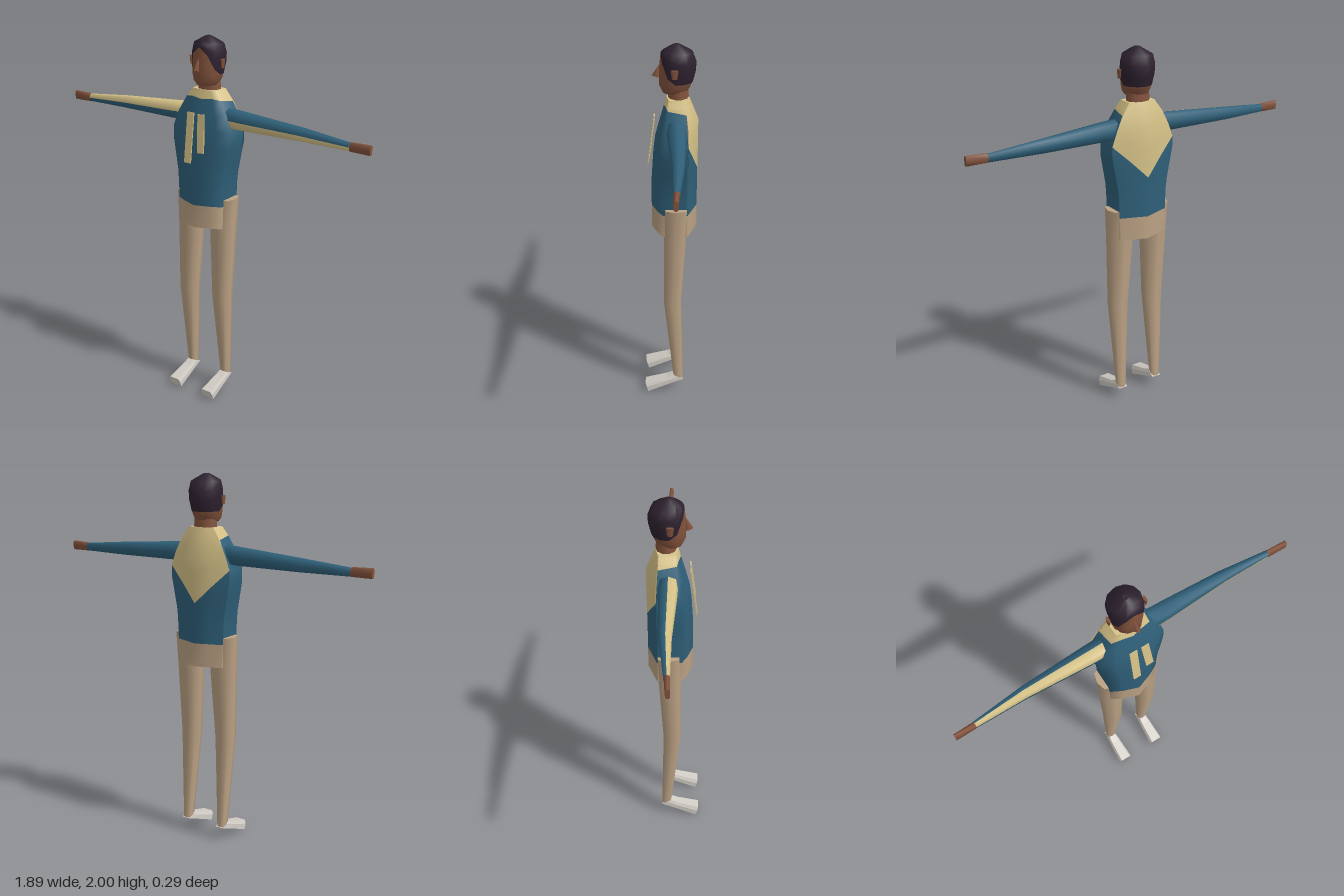
import * as THREE from 'three';

const mat = (name, color) => {
  const m = new THREE.MeshStandardMaterial({ color });
  m.name = name;
  return m;
};

// Straight-line interpolation in a table of rows [key, ...values]
function sample(table, k) {
  let i = 0;
  while (i < table.length - 2 && k > table[i + 1][0]) i++;
  const a = table[i], b = table[i + 1];
  const t = THREE.MathUtils.clamp((k - a[0]) / (b[0] - a[0]), 0, 1);
  return a.slice(1).map((v, n) => THREE.MathUtils.lerp(v, b[n + 1], t));
}

// Skins closed rings of [x, y, z]; pick(row, column) chooses the material index
function loft(name, rings, materials, pick = () => 0, flat = false) {
  const n = rings[0].length, last = rings.length - 1;
  const pos = rings.flat(2), faces = materials.map(() => []);
  for (let r = 0; r < last; r++) for (let c = 0; c < n; c++) {
    const d = (c + 1) % n, a = r * n + c, b = r * n + d, e = a + n, f = b + n;
    faces[pick(r, c)].push(a, b, f, a, f, e);
  }
  // End caps with their own vertices
  for (const [ring, row, up] of [[rings[0], 0, false], [rings[last], last - 1, true]]) {
    const base = pos.length / 3;
    pos.push(...ring.flat());
    pos.push(...[0, 1, 2].map(k => ring.reduce((s, p) => s + p[k], 0) / n));
    for (let c = 0; c < n; c++) {
      const d = base + (c + 1) % n;
      faces[pick(row, c)].push(base + n, ...(up ? [base + c, d] : [d, base + c]));
    }
  }
  let geo = new THREE.BufferGeometry();
  geo.setAttribute('position', new THREE.Float32BufferAttribute(pos, 3));
  geo.setIndex(faces.flat());
  let start = 0;
  faces.forEach((f, i) => { geo.addGroup(start, f.length, i); start += f.length; });
  if (flat) geo = geo.toNonIndexed();
  geo.computeVertexNormals();
  const mesh = new THREE.Mesh(geo, materials);
  mesh.name = name;
  return mesh;
}

// Eight-sided, slightly squared loop as pairs [u, v]
const loop8 = Array.from({ length: 8 }, (_, i) => {
  const a = i * Math.PI / 4, k = i % 2 ? 1.13 : 1;
  return [Math.sin(a) * k, Math.cos(a) * k];
});

export function createModel() {
  const group = new THREE.Group();
  const blue = mat('jacketBlue', 0x2f6079);
  const cream = mat('cream', 0xd6c288);
  const khaki = mat('khaki', 0xbba184);
  const skin = mat('skin', 0x82523c);
  const hair = mat('hair', 0x2d212f);
  const white = mat('shoeWhite', 0xd0ccc4);
  const lerp = THREE.MathUtils.lerp;
  const add = (name, geo, m, x, y, z) => {
    const mesh = new THREE.Mesh(geo, m);
    mesh.name = name;
    mesh.position.set(x, y, z);
    group.add(mesh);
    return mesh;
  };

  // Torso: y, half width, z of front ridge, side front, side back, back ridge
  const torso = [
    [1.0, 0.138, 0.1, 0.04, -0.09, -0.14],
    [1.27, 0.147, 0.1, 0.04, -0.09, -0.14],
    [1.5, 0.192, 0.085, 0.03, -0.09, -0.143],
    [1.64, 0.14, 0.047, 0.02, -0.09, -0.143],
    [1.73, 0.075, 0.02, 0.005, -0.08, -0.095],
  ];
  // Columns: side (-1..1), position along front-to-back, lower edge of the cream panel
  const half = [[0.6, 'f', 1.69], [1, 'sf', 1.685], [1, 'sm', 1.67], [1, 'sb', 1.52], [0.5, 'b', 1.43]];
  const columns = [[0, 'f0', 1.685], ...half, [0, 'b0', 1.34],
    ...half.slice().reverse().map(([s, k, e]) => [-s, k, e])];
  const torsoPoint = (s, key, y) => {
    const [w, f, sf, sb, b] = sample(torso, y);
    const z = { f0: f, f: lerp(f, sf, 0.5), sf, sm: lerp(sb, sf, 0.06), sb, b: lerp(sb, b, 0.5), b0: b }[key];
    return [s * w, y, z];
  };
  const torsoRing = h => columns.map(([s, k, e]) => torsoPoint(s, k, h(e)));
  const blueRows = 7, torsoRings = [torsoRing(() => 1.0)];
  for (let i = 0; i <= blueRows; i++) torsoRings.push(torsoRing(e => lerp(1.125, e, i / blueRows)));
  for (const t of [0.35, 0.7, 1]) torsoRings.push(torsoRing(e => lerp(e, 1.73, t)));
  group.add(loft('jacket', torsoRings, [khaki, blue, cream],
    r => (r === 0 ? 0 : r <= blueRows ? 1 : 2)));

  // Chest stripes
  const stripe = (h, x, y, z, tilt) => {
    const m = add('chestStripe', new THREE.BoxGeometry(0.042, h, 0.006), cream, x, y, z);
    m.rotation.set(-0.13, 0, tilt);
  };
  stripe(0.265, -0.027, 1.49, 0.1, 0.01);
  stripe(0.2, 0.045, 1.52, 0.096, 0.08);

  // Neck
  const neck = add('neck', new THREE.CylinderGeometry(0.06, 0.068, 0.09, 10), skin, 0, 1.738, -0.04);
  neck.scale.z = 0.82;

  // Head: y, half width, front z, back z; the hairline varies around the head
  const head = [
    [1.755, 0.055, 0.04, -0.085],
    [1.775, 0.07, 0.057, -0.095],
    [1.82, 0.08, 0.06, -0.118],
    [1.9, 0.09, 0.057, -0.135],
    [1.965, 0.08, 0.047, -0.11],
    [2.0, 0.015, -0.015, -0.045],
  ];
  const hairline = [1.95, 1.915, 1.84, 1.81, 1.81, 1.81, 1.81];
  const headRing = h => Array.from({ length: 12 }, (_, c) => {
    const a = c * Math.PI / 6, y = h(hairline[Math.min(c, 12 - c)]);
    const [w, f, b] = sample(head, y);
    return [Math.sin(a) * w, y, (f + b) / 2 + Math.cos(a) * (f - b) / 2];
  });
  const headRings = [];
  for (const t of [0, 0.2, 0.6, 1]) headRings.push(headRing(e => lerp(1.755, e, t)));
  for (const t of [0.3, 0.55, 0.8, 1]) headRings.push(headRing(e => lerp(e, 2.0, t)));
  group.add(loft('head', headRings, [skin, hair], r => (r < 3 ? 0 : 1)));

  // Nose wedge
  const nose = add('nose', new THREE.ConeGeometry(0.024, 0.07, 4), skin, 0, 1.868, 0.062);
  nose.rotation.x = -0.25;
  nose.scale.set(0.7, 1, 1);

  for (const s of [-1, 1]) {
    // Ear
    const ear = add(s > 0 ? 'leftEar' : 'rightEar', new THREE.CylinderGeometry(0.02, 0.013, 0.045, 6),
      skin, s * 0.098, 1.87, -0.02);
    ear.scale.x = 0.4;

    // Sleeve and hand: x, y centre, z centre, half height, half depth
    const arm = [
      [0.13, 1.592, -0.03, 0.052, 0.05],
      [0.22, 1.588, -0.031, 0.049, 0.048],
      [0.56, 1.575, -0.037, 0.036, 0.03],
      [0.835, 1.563, -0.027, 0.022, 0.015],
      [0.84, 1.564, -0.025, 0.024, 0.014],
      [0.945, 1.565, -0.022, 0.026, 0.012],
    ].map(([x, y, z, h, d]) => loop8.map(([u, v]) => [s * x, y + v * h, z + u * d]));
    const order = s > 0 ? arm : arm.reverse();
    const creamColumns = s > 0 ? [2, 3] : [0, 1];
    group.add(loft(s > 0 ? 'leftArm' : 'rightArm', order, [blue, cream, skin], (r, c) => {
      if ((s > 0 ? r : 4 - r) >= 3) return 2;
      return creamColumns.includes(c) ? 1 : 0;
    }));

    // Trouser leg: y, x centre, z centre, half width, half depth, forward slope
    const leg = [
      [0.09, 0.115, -0.043, 0.025, 0.027, 0.01],
      [0.59, 0.112, -0.011, 0.051, 0.048, 0],
      [1.0, 0.106, -0.025, 0.068, 0.06, 0],
      [1.16, 0.106, -0.029, 0.074, 0.066, 0],
    ].map(([y, x, z, w, d, k]) => loop8.map(([u, v]) => [s * x + u * w, y + v * k, z + v * d]));
    group.add(loft(s > 0 ? 'leftLeg' : 'rightLeg', leg, [khaki]));

    // Shoe: top y, top z, bottom y, bottom z, half width
    const outline = [[0.75, 0], [-0.75, 0], [-1, 0.4], [-1, 1], [1, 1], [1, 0.4]];
    const shoe = [
      [0.105, -0.018, 0.078, -0.07, 0.026],
      [0.088, 0.02, 0.057, -0.01, 0.031],
      [0.053, 0.143, 0.003, 0.127, 0.039],
    ].map(([ty, tz, by, bz, w]) => outline.map(([u, t]) => [s * 0.114 + u * w, lerp(ty, by, t), lerp(tz, bz, t)]));
    group.add(loft(s > 0 ? 'leftShoe' : 'rightShoe', shoe, [white], () => 0, true));
  }
  return group;
}
